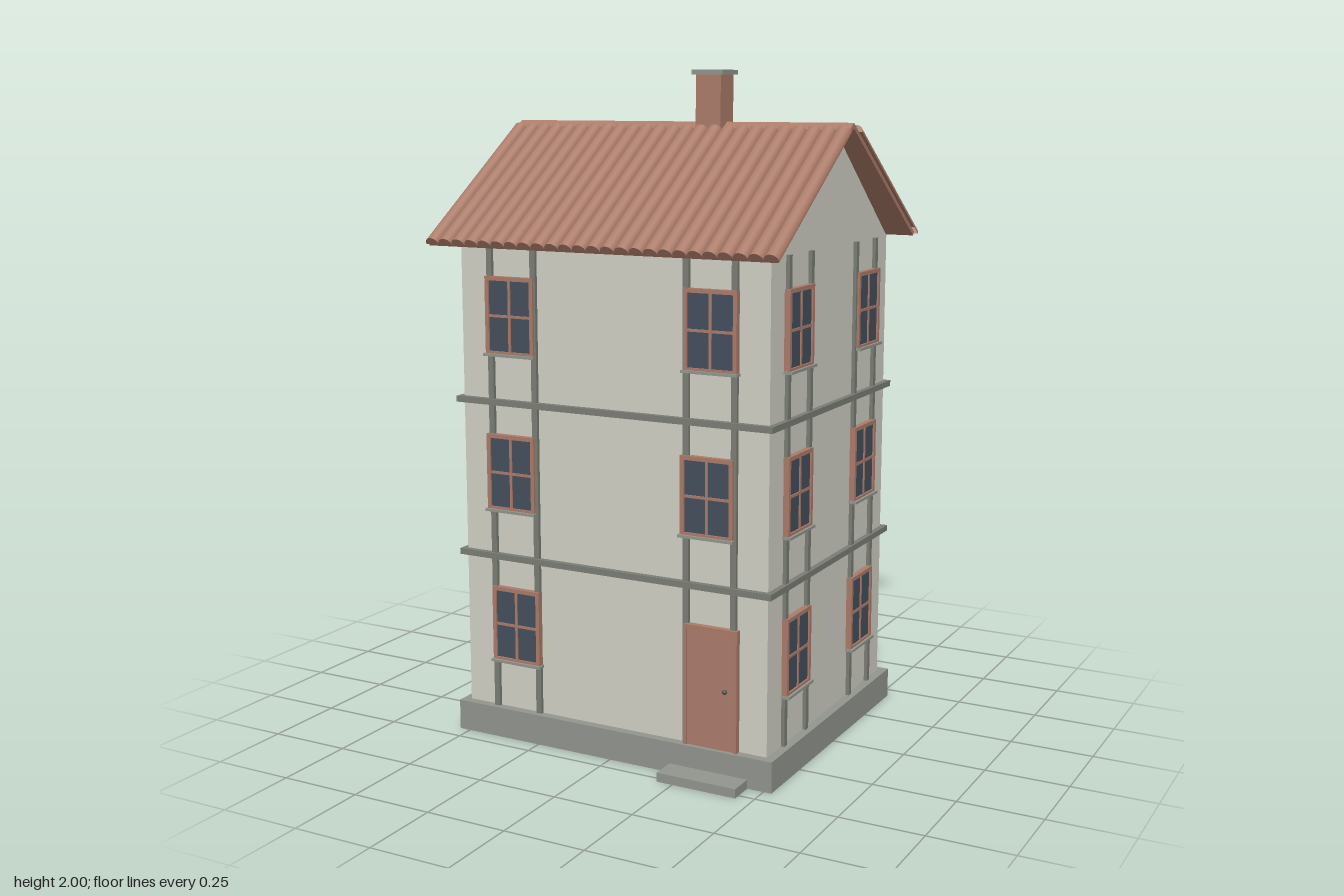
import * as THREE from 'three';

const mat = (name, color) => {
  const m = new THREE.MeshStandardMaterial({ color });
  m.name = name;
  return m;
};

export function createModel() {
  const plaster = mat('plaster', 0xd0d0c4);
  const stone = mat('stone', 0x92958e);
  const timber = mat('timber', 0x7a7d75);
  const clay = mat('clay', 0xab7b69);
  const doorPaint = mat('doorPaint', 0xab7b6c);
  const glass = mat('glass', 0x444e5d);
  const iron = mat('iron', 0x55504c);

  const house = new THREE.Group();
  house.name = 'house';

  // box given by its minimum and maximum corners
  const box = (parent, name, material, [x0, y0, z0], [x1, y1, z1]) => {
    const mesh = new THREE.Mesh(new THREE.BoxGeometry(x1 - x0, y1 - y0, z1 - z0), material);
    mesh.position.set((x0 + x1) / 2, (y0 + y1) / 2, (z0 + z1) / 2);
    mesh.name = name;
    parent.add(mesh);
    return mesh;
  };

  const cx = -0.0065, halfX = 0.5035, halfZ = 0.418;

  // plinth and doorstep
  box(house, 'plinth', stone, [-0.535, 0, -0.445], [0.525, 0.092, 0.445]);
  box(house, 'doorstep', stone, [0.2, 0, 0.44], [0.45, 0.027, 0.522]);

  // walls with gables, one section run along x
  const section = new THREE.Shape([
    [-halfZ, 0.09], [halfZ, 0.09], [halfZ, 1.5], [0, 1.832], [-halfZ, 1.5],
  ].map(([z, y]) => new THREE.Vector2(z, y)));
  const wallGeo = new THREE.ExtrudeGeometry(section, { depth: 2 * halfX, bevelEnabled: false });
  wallGeo.translate(0, 0, -halfX).rotateY(Math.PI / 2);
  const walls = new THREE.Mesh(wallGeo, plaster);
  walls.name = 'walls';
  walls.position.x = cx;
  house.add(walls);

  // floor beams all around
  for (const y of [0.565, 1.035]) {
    box(house, 'floorBeam', timber, [-0.527, y - 0.009, -0.436], [0.514, y + 0.009, 0.436]);
  }

  // window: glass pane, frame, glazing bars and sill
  const W = 0.165, H = 0.232, F = 0.012;
  const addWindow = (parent, x, y) => {
    const g = new THREE.Group();
    g.name = 'window';
    g.position.set(x, y, 0);
    parent.add(g);
    const w = W / 2, h = H / 2;
    box(g, 'pane', glass, [-w + F, -h + F, 0.004], [w - F, h - F, 0.0125]);
    for (const s of [-1, 1]) {
      const a = s * (w - F / 2), b = s * (h - F / 2);
      box(g, 'frameSide', clay, [a - F / 2, -h, 0], [a + F / 2, h, 0.018]);
      box(g, 'frameRail', clay, [-w + F, b - F / 2, 0], [w - F, b + F / 2, 0.018]);
    }
    box(g, 'glazingBarUpright', clay, [-0.004, -h + F, 0.01], [0.004, h - F, 0.016]);
    box(g, 'glazingBarCross', clay, [-w + F, -0.004, 0.01], [w - F, 0.004, 0.0155]);
    box(g, 'sill', stone, [-w - 0.004, -h - 0.003, 0], [w + 0.004, -h + 0.005, 0.026]);
  };

  // one side of the house: two pairs of posts and a window between each pair per floor
  const floors = [0.355, 0.823, 1.292];
  const facade = (name, position, turn, bay, shifts, skipDoorBay) => {
    const g = new THREE.Group();
    g.name = name;
    g.position.set(...position);
    g.rotation.y = turn;
    house.add(g);
    for (const s of [-1, 1]) {
      for (const d of [-0.075, 0.075]) {
        const x = s * bay + d;
        box(g, 'post', timber, [x - 0.009, 0.09, -0.005], [x + 0.009, 1.5, 0.011]);
      }
      floors.forEach((y, i) => {
        if (skipDoorBay && s > 0 && i === 0) return;
        addWindow(g, s * bay + shifts[s < 0 ? 0 : 1][i], y);
      });
    }
    return g;
  };

  const shiftsLong = [[0.002, -0.008, -0.004], [0.005, -0.007, 0.003]];
  const shiftsSide = [[-0.002, -0.004, -0.009], [-0.009, -0.003, 0.008]];
  const front = facade('frontFacade', [cx, 0, halfZ], 0, 0.325, shiftsLong, true);
  facade('backFacade', [cx, 0, -halfZ], Math.PI, 0.325, shiftsLong, false);
  facade('leftFacade', [cx + halfX, 0, 0], Math.PI / 2, 0.239, shiftsSide, false);
  facade('rightFacade', [cx - halfX, 0, 0], -Math.PI / 2, 0.239, shiftsSide, false);

  // door with frame and knob
  const dx = 0.332;
  box(front, 'door', doorPaint, [dx - 0.077, 0.09, 0], [dx + 0.077, 0.443, 0.014]);
  for (const s of [-1, 1]) {
    const x = dx + s * 0.08;
    box(front, 'doorFrameSide', clay, [x - 0.005, 0.09, 0], [x + 0.005, 0.452, 0.019]);
  }
  box(front, 'doorFrameTop', clay, [dx - 0.075, 0.442, 0], [dx + 0.075, 0.452, 0.019]);
  const knob = new THREE.Mesh(new THREE.SphereGeometry(0.007, 12, 8), iron);
  knob.name = 'doorKnob';
  knob.position.set(dx + 0.048, 0.27, 0.02);
  front.add(knob);

  // roof slopes: a thin slab carrying rows of half-round tiles
  const slope = Math.atan(0.68), ridgeY = 1.85;
  const slabLen = 0.505 / Math.cos(slope);
  const tileFrom = 0.038 / Math.cos(slope), tileTo = 0.513 / Math.cos(slope);
  const count = 25, pitch = 1.13 / count;
  const tileGeo = new THREE.CylinderGeometry(
    pitch / 2, pitch / 2, tileTo - tileFrom, 12, 1, false, -Math.PI / 2, Math.PI);
  tileGeo.translate(0, -(tileFrom + tileTo) / 2, 0);
  const tileMat = clay.clone();
  tileMat.name = 'roofTile';
  tileMat.side = THREE.DoubleSide;
  for (const back of [false, true]) {
    const side = new THREE.Group();
    side.name = back ? 'backRoof' : 'frontRoof';
    side.rotation.y = back ? Math.PI : 0;
    const plane = new THREE.Group();
    plane.name = 'roofSlope';
    plane.position.y = ridgeY;
    plane.rotation.x = slope - Math.PI / 2;
    side.add(plane);
    house.add(side);
    const slabX = back ? [-0.555, 0.565] : [-0.565, 0.555];
    box(plane, 'roofSlab', clay, [slabX[0], -slabLen, -0.013], [slabX[1], 0, 0]);
    for (let i = 0; i < count; i++) {
      const tile = new THREE.Mesh(tileGeo, tileMat);
      tile.name = 'tileRow';
      tile.position.x = (i - (count - 1) / 2) * pitch;
      plane.add(tile);
    }
  }

  // chimney and cap
  box(house, 'chimney', clay, [0.071, 1.79, -0.041], [0.153, 1.987, 0.041]);
  box(house, 'chimneyCap', stone, [0.061, 1.986, -0.05], [0.163, 2, 0.05]);

  return house;
}
